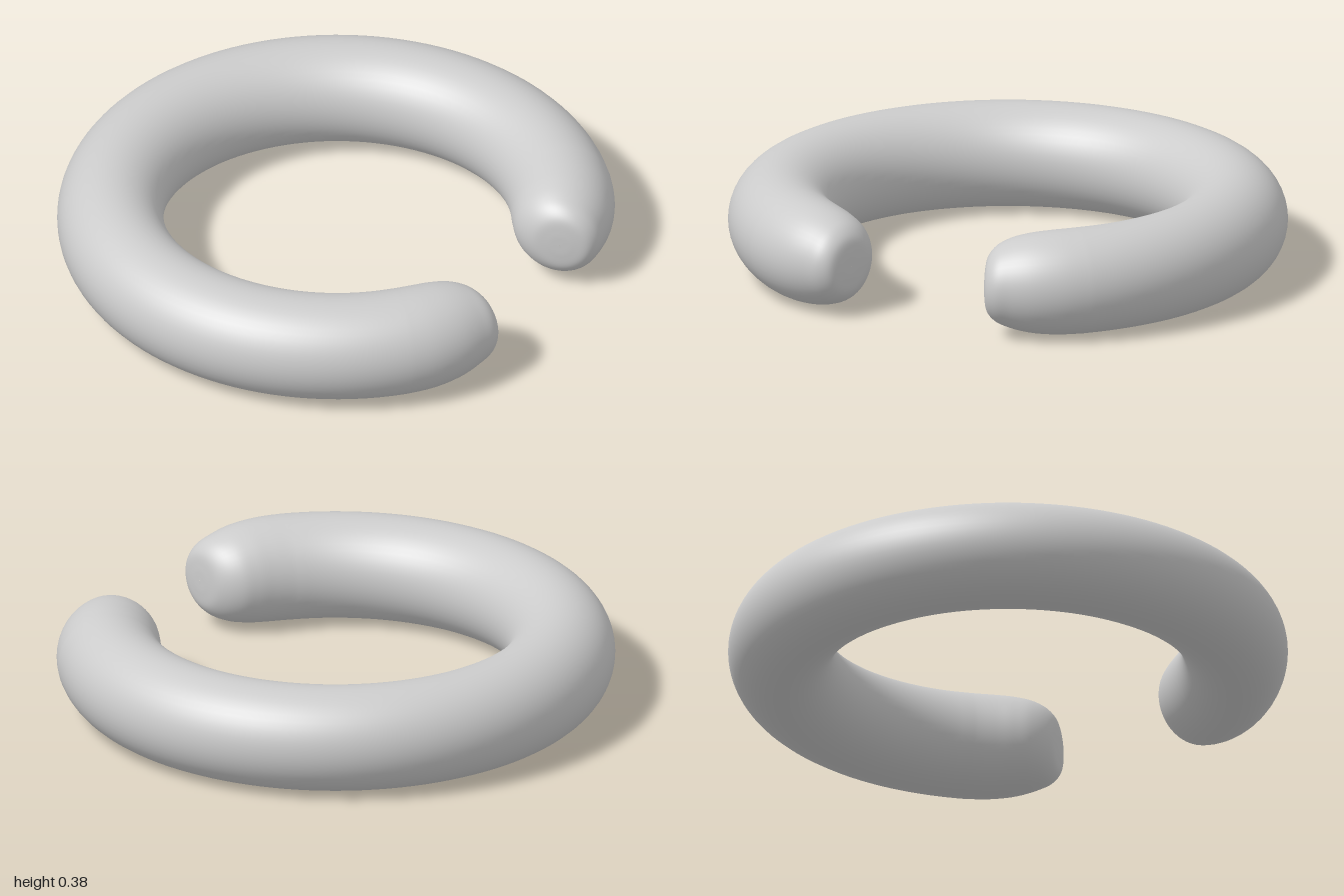
import * as THREE from 'three';

// Half of the open ring: angle from the gap (degrees), centreline radius, tube radius
const END = [
  [18.8, 0.815, 0.001], [18.9, 0.815, 0.05], [19.5, 0.815, 0.1], [21.5, 0.81, 0.135],
  [25, 0.802, 0.16], [30, 0.804, 0.178], [36, 0.808, 0.187], [43, 0.81, 0.19],
];
const SIDES = 48, CENTRE_X = 0.06, TUBE = 0.19;

// Cross-sections along the whole ring: rounded end, even arc, mirrored end
function ringSections() {
  const curve = new THREE.CatmullRomCurve3(
    END.map(([a, r, t]) => new THREE.Vector3(a / 60, r, t)), false, 'centripetal');
  const end = curve.getPoints(42).map(p => [p.x * 60, p.y, p.z]);
  const sections = [...end];
  for (let a = 46; a < 315; a += 3) sections.push([a, 0.81, TUBE]);
  for (const [a, r, t] of end.reverse()) sections.push([360 - a, r, t]);
  return sections;
}

function loftRing(sections) {
  const pos = [], index = [];
  for (const [deg, r, t] of sections) {
    const a = THREE.MathUtils.degToRad(deg);
    for (let j = 0; j < SIDES; j++) {
      const b = (j / SIDES) * Math.PI * 2;
      const d = r + t * Math.cos(b);
      pos.push(CENTRE_X + d * Math.cos(a), TUBE + t * Math.sin(b), d * Math.sin(a));
    }
  }
  for (let i = 0; i < sections.length - 1; i++) {
    for (let j = 0; j < SIDES; j++) {
      const k = (j + 1) % SIDES;
      const a = i * SIDES + j, b = i * SIDES + k;
      index.push(a, b, a + SIDES, b, b + SIDES, a + SIDES);
    }
  }
  const geo = new THREE.BufferGeometry();
  geo.setAttribute('position', new THREE.Float32BufferAttribute(pos, 3));
  geo.setIndex(index);
  geo.computeVertexNormals();
  return geo;
}

export function createModel() {
  const group = new THREE.Group();
  const ring = new THREE.Mesh(
    loftRing(ringSections()), new THREE.MeshStandardMaterial({ color: 0xcccccc }));
  ring.name = 'openRing';
  group.add(ring);
  return group;
}
